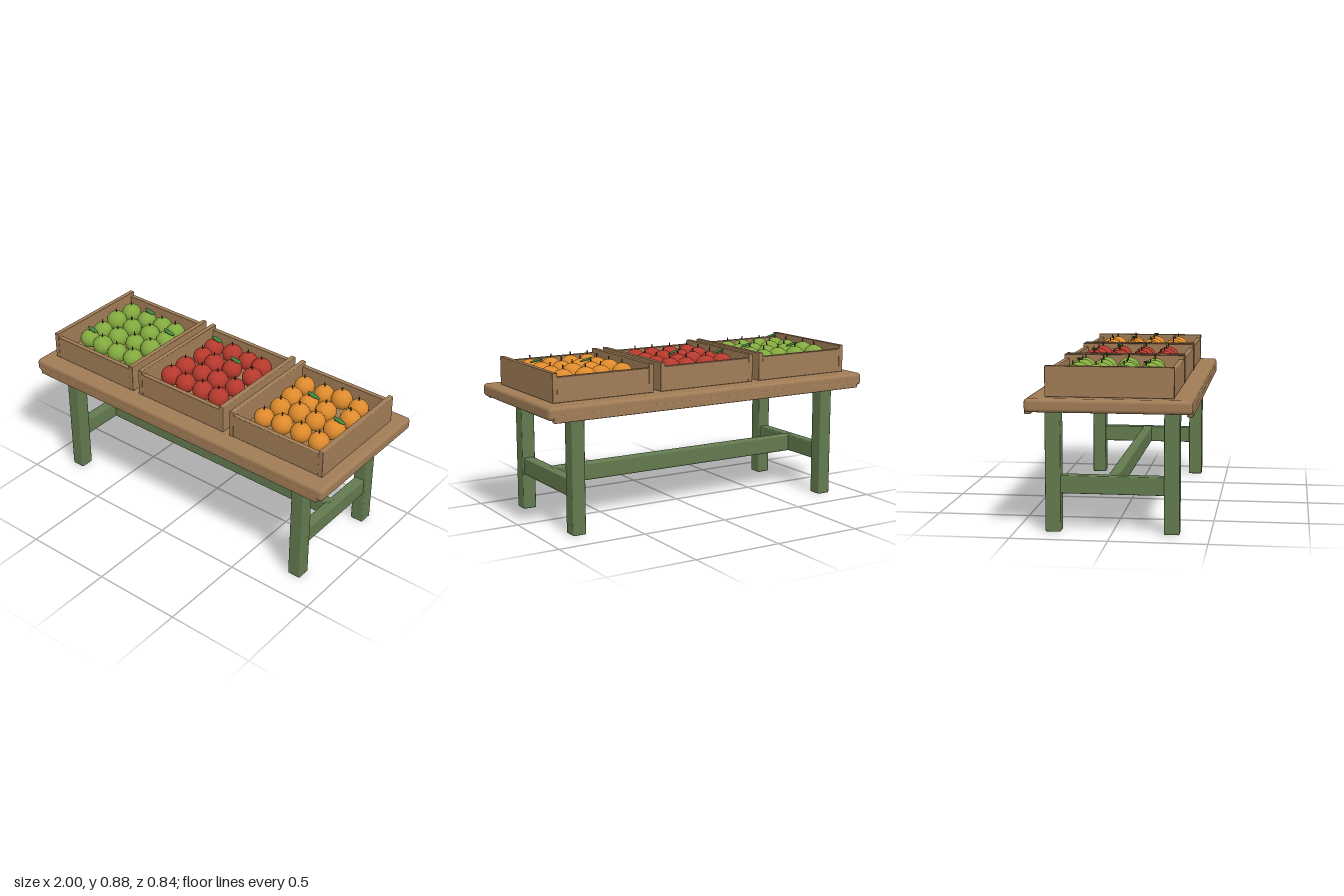
import * as THREE from 'three';
import { RoundedBoxGeometry } from 'three/addons/geometries/RoundedBoxGeometry.js';

const material = (name, color) => {
  const m = new THREE.MeshStandardMaterial({ color });
  m.name = name;
  return m;
};

// Fruit positions within each crate, in hundredths: x, z per fruit, row by row
const FRUIT = {
  green: [-18, -20, -5, -19, 7, -19, 17, -19, -19, -8, -6, -7, 7, -8, 19, -8,
    -17, 6, -5, 6, 7, 5, 18, 4, -17, 17, -6, 18, 6, 19, 17, 18],
  red: [-18, -19, -6, -21, 6, -20, 16, -19, -17, -8, -7, -6, 4, -8, 18, -8,
    -18, 6, -6, 6, 5, 6, 17, 6, -18, 18, -7, 19, 5, 19, 16, 19],
  orange: [-18, -19, -5, -19, 5, -21, 17, -19, -17, -6, -6, -6, 5, -6, 19, -8,
    -16, 6, -5, 4, 6, 5, 18, 5, -17, 19, -6, 18, 6, 18, 18, 19],
};

export function createModel() {
  const root = new THREE.Group();
  root.name = 'marketStall';
  const wood = material('wood', 0xa07c56);
  const paint = material('greenPaint', 0x627a4f);
  const stemMat = material('stemBrown', 0x5a3d24);
  const leafMat = material('leafGreen', 0x3f7f3a);

  const box = (parent, name, mat, size, pos, r = 0.006) => {
    const mesh = new THREE.Mesh(new RoundedBoxGeometry(...size, 2, r), mat);
    mesh.name = name;
    mesh.position.set(...pos);
    parent.add(mesh);
  };

  // Table top with a lip under each long edge
  box(root, 'tableTop', wood, [2, 0.07, 0.84], [0, 0.675, 0], 0.02);
  for (const s of [-1, 1]) {
    box(root, 'edgeTrim', wood, [1.94, 0.04, 0.032], [0, 0.647, s * 0.405], 0.005);
  }

  // Legs and stretchers
  for (const sx of [-1, 1]) {
    for (const sz of [-1, 1]) {
      box(root, 'leg', paint, [0.076, 0.645, 0.08], [sx * 0.802, 0.3225, sz * 0.305]);
    }
    box(root, 'endStretcher', paint, [0.06, 0.094, 0.56], [sx * 0.802, 0.247, 0]);
  }
  box(root, 'longStretcher', paint, [1.6, 0.1, 0.055], [0, 0.247, 0], 0.012);

  const fruitGeo = new THREE.SphereGeometry(0.057, 24, 16);
  const stemGeo = new THREE.CylinderGeometry(0.003, 0.004, 0.024, 6);
  const leafGeo = new THREE.SphereGeometry(1, 12, 8);

  // One crate filled with a single layer of fruit
  const crate = (name, x, mat, spots, leaves) => {
    const g = new THREE.Group();
    g.name = name;
    g.position.x = x;
    root.add(g);
    box(g, 'crateFloor', wood, [0.57, 0.03, 0.63], [0, 0.726, 0], 0.004);
    for (const s of [-1, 1]) {
      box(g, 'crateSide', wood, [0.028, 0.156, 0.65], [s * 0.283, 0.789, 0], 0.004);
      box(g, 'crateBoard', wood, [0.56, 0.134, 0.028], [0, 0.778, s * 0.309], 0.004);
    }
    for (let i = 0; i < 16; i++) {
      const fx = spots[2 * i] / 100, fz = spots[2 * i + 1] / 100;
      const size = 1 + 0.04 * Math.sin(i * 2.7 + x * 5);
      const fruit = new THREE.Mesh(fruitGeo, mat);
      fruit.name = 'fruit';
      fruit.scale.set(size, size * 0.95, size);
      fruit.position.set(fx, 0.808, fz);
      const stem = new THREE.Mesh(stemGeo, stemMat);
      stem.name = 'stem';
      stem.position.set(fx, 0.87, fz);
      stem.rotation.z = 0.15 * Math.sin(i * 1.9);
      g.add(fruit, stem);
      if (leaves.includes(i)) {
        const leaf = new THREE.Mesh(leafGeo, leafMat);
        leaf.name = 'leaf';
        leaf.scale.set(0.039, 0.005, 0.016);
        leaf.position.set(fx + 0.027, 0.874, fz);
        leaf.rotation.z = -0.25;
        g.add(leaf);
      }
    }
  };

  crate('greenAppleCrate', -0.636, material('appleGreen', 0x82a93f), FRUIT.green, [1, 7, 12]);
  crate('redAppleCrate', 0, material('appleRed', 0xb5392d), FRUIT.red, [0, 6]);
  crate('orangeCrate', 0.636, material('orange', 0xdd8a2c), FRUIT.orange, [5, 11]);
  return root;
}
